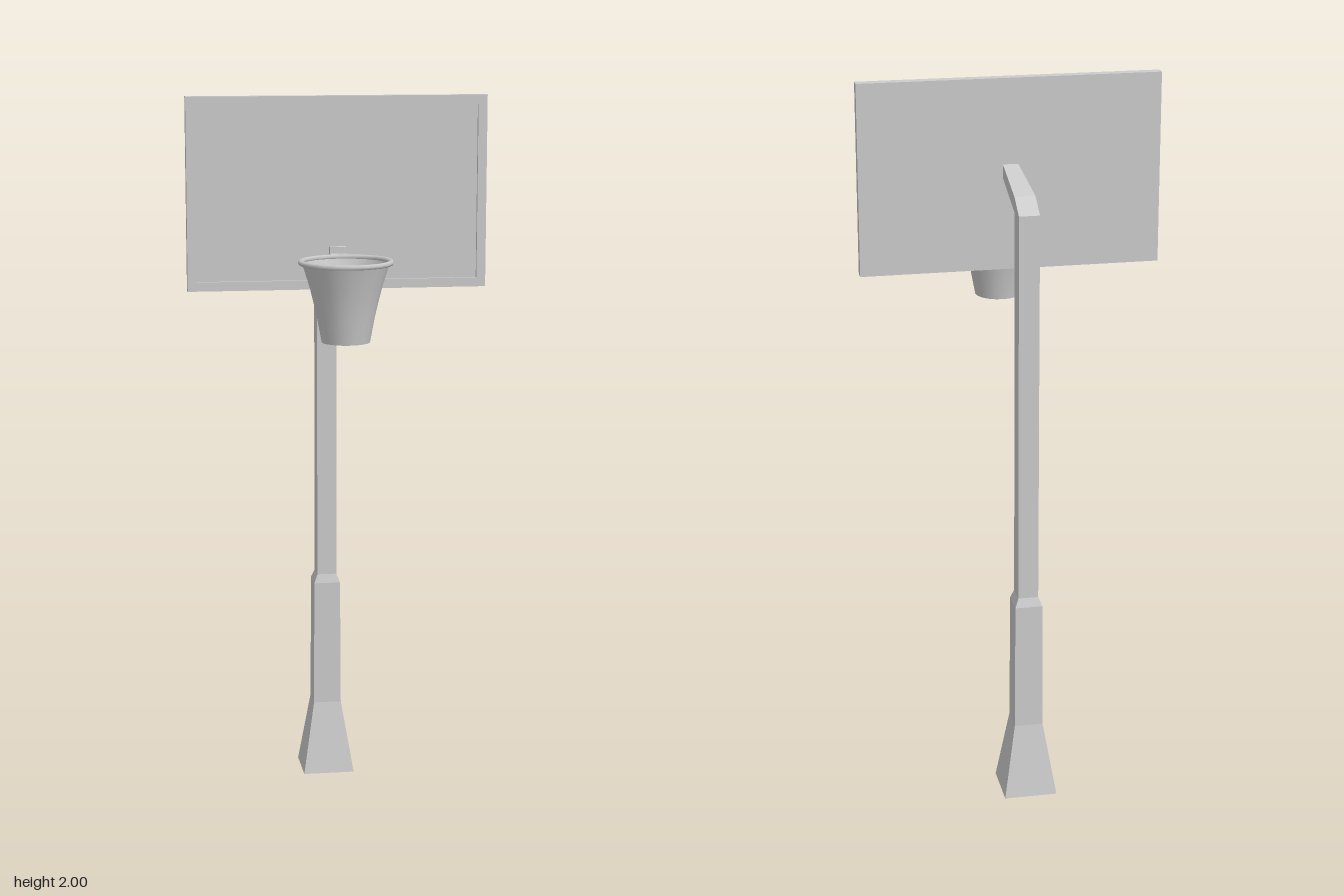
import * as THREE from 'three';

const smooth = new THREE.MeshStandardMaterial({ color: 0xcccccc });
const flat = new THREE.MeshStandardMaterial({ color: 0xcccccc, flatShading: true });
const open = new THREE.MeshStandardMaterial({ color: 0xcccccc, side: THREE.DoubleSide });

function add(group, name, geometry, material, x = 0, y = 0, z = 0) {
  const mesh = new THREE.Mesh(geometry, material);
  mesh.name = name;
  mesh.position.set(x, y, z);
  group.add(mesh);
  return mesh;
}

// Skins four-cornered sections [halfWidth, frontZ, frontY, backZ, backY], capped at both ends
function loftBeam(sections) {
  const loops = sections.map(([h, fz, fy, bz, by]) => [
    [h, fy, fz], [h, by, bz], [-h, by, bz], [-h, fy, fz],
  ]);
  const pos = [];
  const quad = (a, b, c, d) => [a, b, c, a, c, d].forEach((p) => pos.push(...p));
  for (let s = 0; s < loops.length - 1; s++) {
    for (let i = 0; i < 4; i++) {
      const j = (i + 1) % 4;
      quad(loops[s][i], loops[s][j], loops[s + 1][j], loops[s + 1][i]);
    }
  }
  quad(...[...loops[0]].reverse());
  quad(...loops[loops.length - 1]);
  const geometry = new THREE.BufferGeometry();
  geometry.setAttribute('position', new THREE.Float32BufferAttribute(pos, 3));
  geometry.computeVertexNormals();
  return geometry;
}

function rectangle(Type, w, h) {
  const r = new Type();
  r.moveTo(-w / 2, -h / 2);
  r.lineTo(w / 2, -h / 2);
  r.lineTo(w / 2, h / 2);
  r.lineTo(-w / 2, h / 2);
  r.closePath();
  return r;
}

export function createModel() {
  const model = new THREE.Group();
  model.name = 'basketballHoop';

  // Square post: flared foot, thick sleeve, slim shaft, then the bent arm
  const poleZ = -0.234;
  const level = (h, y) => [h, poleZ + h, y, poleZ - h, y];
  add(model, 'postAndArm', loftBeam([
    level(0.074, 0),
    level(0.04, 0.21),
    level(0.038, 0.575),
    [0.028, -0.203, 0.6, -0.263, 0.6],
    [0.028, -0.203, 1.685, -0.263, 1.69],
    [0.028, -0.203, 1.685, -0.203, 1.727],
    [0.021, -0.005, 1.729, -0.005, 1.766],
  ]), flat);

  // Backboard: panel with a raised border on its front
  const W = 0.828, H = 0.527, border = 0.025, boardY = 2 - H / 2;
  add(model, 'backboardPanel', new THREE.BoxGeometry(W, H, 0.019), flat, 0, boardY, 0.0025);
  const frame = rectangle(THREE.Shape, W, H);
  frame.holes.push(rectangle(THREE.Path, W - 2 * border, H - 2 * border));
  add(model, 'backboardBorder',
    new THREE.ExtrudeGeometry(frame, { depth: 0.01, bevelEnabled: false }), flat, 0, boardY, 0.012);

  // Bracket joining board and rim
  add(model, 'bracketPlate', new THREE.BoxGeometry(0.046, 0.05, 0.015), flat, 0, 1.565, 0.0195);
  add(model, 'bracketArm', new THREE.BoxGeometry(0.046, 0.008, 0.03), flat, 0, 1.568, 0.038);

  // Rim
  const hoopZ = 0.175;
  const rim = new THREE.TorusGeometry(0.1225, 0.0075, 6, 20).rotateX(Math.PI / 2);
  add(model, 'rim', rim, smooth, 0, 1.566, hoopZ);

  // Open net, narrowing downward
  const profile = [[0.066, 1.35], [0.079, 1.42], [0.097, 1.495], [0.119, 1.566]]
    .map(([r, y]) => new THREE.Vector2(r, y));
  add(model, 'net', new THREE.LatheGeometry(profile, 20), open, 0, 0, hoopZ);

  return model;
}
